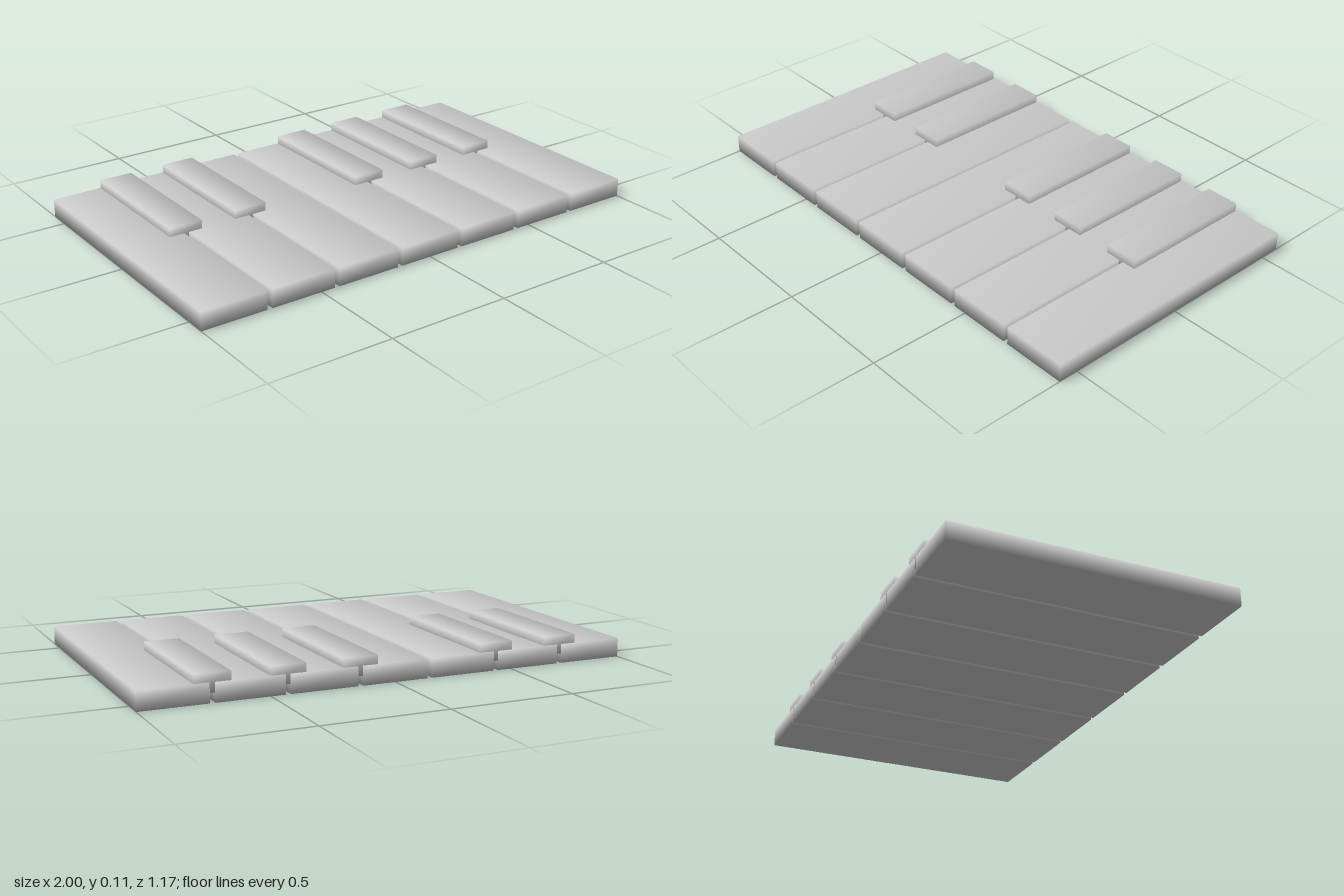
import * as THREE from 'three';
import { mergeVertices } from 'three/addons/utils/BufferGeometryUtils.js';

const material = new THREE.MeshStandardMaterial({ color: 0xcccccc });

// Box given by its limits, with normals shared across the corners
function softBox(name, x, width, y0, y1, z0, z1) {
  let geometry = new THREE.BoxGeometry(width, y1 - y0, z1 - z0);
  geometry.deleteAttribute('normal');
  geometry.deleteAttribute('uv');
  geometry = mergeVertices(geometry);
  geometry.computeVertexNormals();
  const mesh = new THREE.Mesh(geometry, material);
  mesh.name = name;
  mesh.position.set(x, (y0 + y1) / 2, (z0 + z1) / 2);
  return mesh;
}

export function createModel() {
  const model = new THREE.Group();
  model.name = 'keyboardOctave';

  const keyWidth = 0.268;
  const pitch = (2 - keyWidth) / 6;

  // Seven long natural keys with narrow gaps between them
  for (let i = 0; i < 7; i++) {
    model.add(softBox(`naturalKey${i + 1}`, (i - 3) * pitch, keyWidth, 0, 0.075, -0.583, 0.583));
  }

  // Five short raised keys, sunk into the gaps: a pair and a group of three
  [-2.5, -1.5, 0.5, 1.5, 2.5].forEach((slot, i) => {
    model.add(softBox(`raisedKey${i + 1}`, slot * pitch - 0.002, 0.141, 0.037, 0.11, -0.579, 0));
  });

  return model;
}
